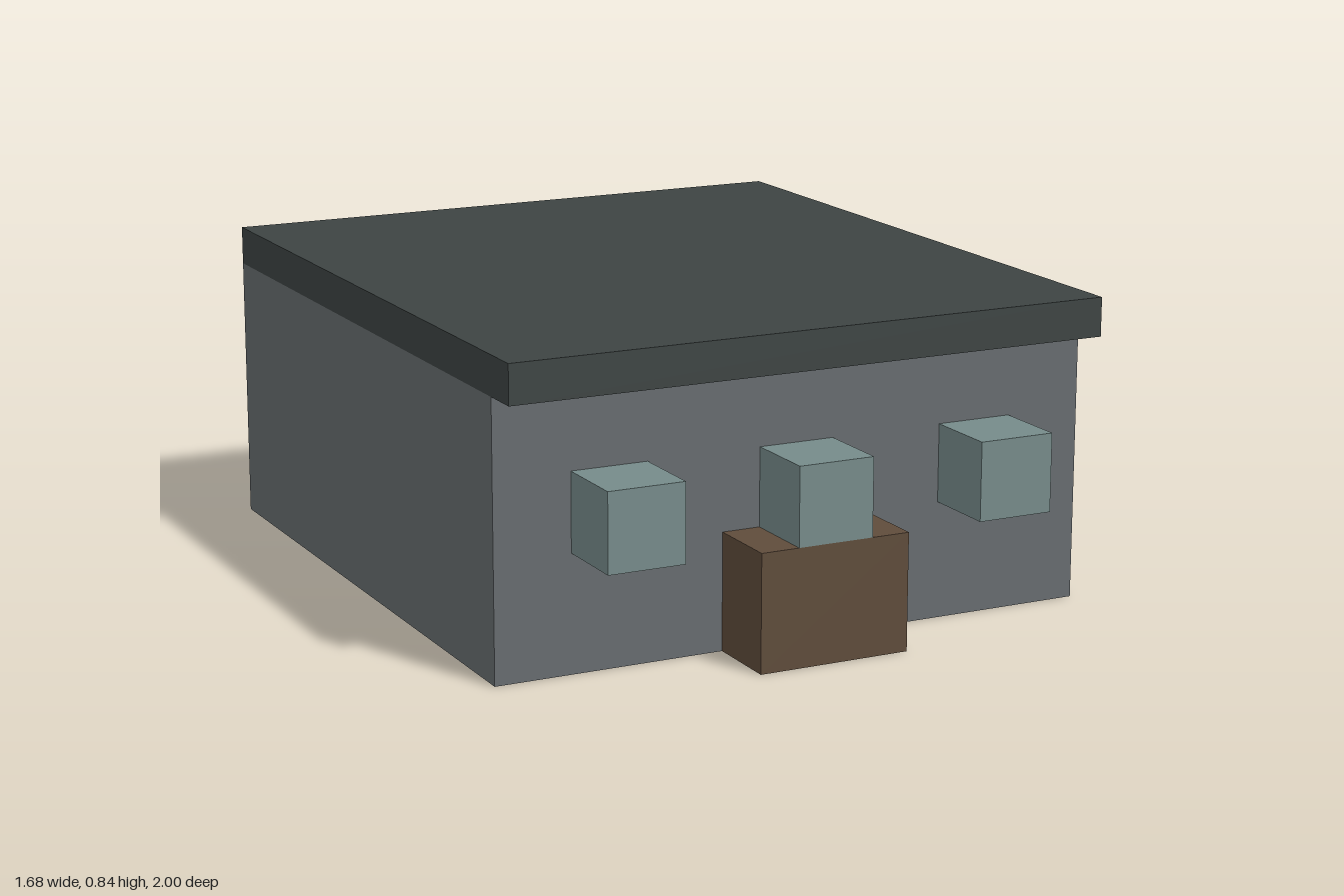
import * as THREE from 'three';

const U = 2 / 19; // building module: the whole is 19 modules deep

function material(name, color) {
  const m = new THREE.MeshStandardMaterial({ color });
  m.name = name;
  return m;
}

export function createModel() {
  const group = new THREE.Group();
  group.name = 'house';

  const wall = material('wall grey', 0x676c6f);
  const roof = material('roof slate', 0x3d4443);
  const wood = material('door brown', 0x5f4c3b);
  const glass = material('window blue-green', 0x768b8a);

  // Box by its size in modules, centre x, base y and back z
  function box(name, mat, w, h, d, x, y, z) {
    const mesh = new THREE.Mesh(new THREE.BoxGeometry(w * U, h * U, d * U), mat);
    mesh.name = name;
    mesh.position.set(x * U, (y + h / 2) * U, (z + d / 2) * U);
    group.add(mesh);
  }

  // Main block and flat roof overhanging the front
  box('walls', wall, 16, 7, 17, 0, 0, -9.5);
  box('roof', roof, 16, 1, 18, 0, 7, -9.5);

  // Projecting door block
  box('door', wood, 4, 3, 2, 0, 0, 7.5);

  // Three projecting windows
  const names = ['rightWindow', 'middleWindow', 'leftWindow'];
  names.forEach((name, i) => box(name, glass, 2, 2, 2, (i - 1) * 5, 3, 7.5));

  return group;
}
